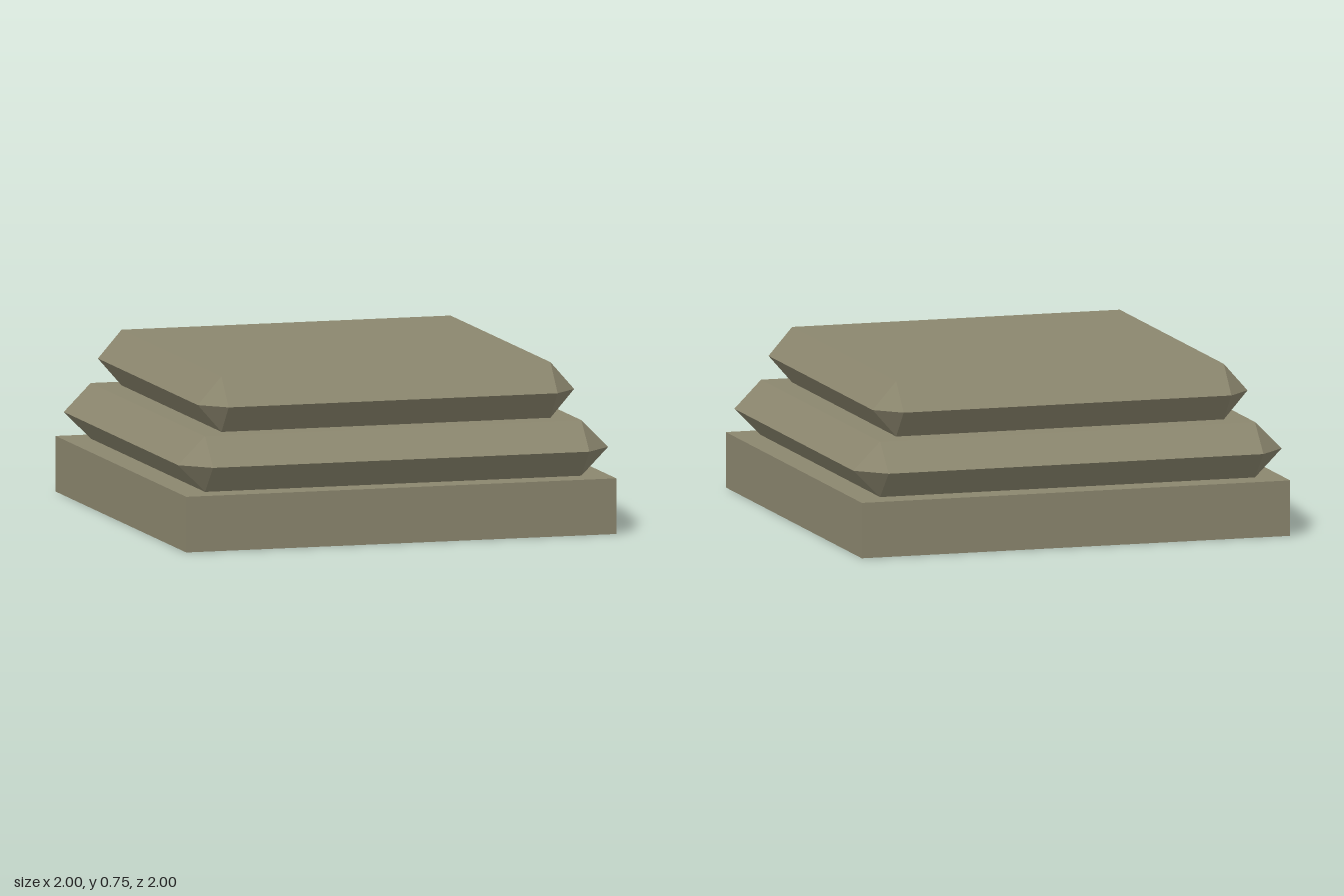
import * as THREE from 'three';
import { ConvexGeometry } from 'three/addons/geometries/ConvexGeometry.js';

const stone = new THREE.MeshStandardMaterial({ color: 0x8b866e });
stone.name = 'stone';

// Square slab whose sides swell to a ridge at mid height, with cut corners
function ridgedSlab(name, inner, outer, bottom, top) {
  const middle = (bottom + top) / 2;
  const points = [];
  for (const sx of [-1, 1]) {
    for (const sz of [-1, 1]) {
      points.push(
        new THREE.Vector3(sx * inner, bottom, sz * inner),
        new THREE.Vector3(sx * inner, top, sz * inner),
        new THREE.Vector3(sx * outer, middle, sz * inner),
        new THREE.Vector3(sx * inner, middle, sz * outer)
      );
    }
  }
  const mesh = new THREE.Mesh(new ConvexGeometry(points), stone);
  mesh.name = name;
  return mesh;
}

export function createModel() {
  const model = new THREE.Group();
  model.name = 'pedestalBase';

  // Plain square plinth
  const plinth = new THREE.Mesh(new THREE.BoxGeometry(2, 0.25, 2), stone);
  plinth.name = 'plinth';
  plinth.position.y = 0.125;
  model.add(plinth);

  // Two stacked mouldings
  model.add(ridgedSlab('lowerMoulding', 0.875, 1, 0.25, 0.5));
  model.add(ridgedSlab('upperMoulding', 0.765, 0.875, 0.5, 0.75));

  return model;
}
